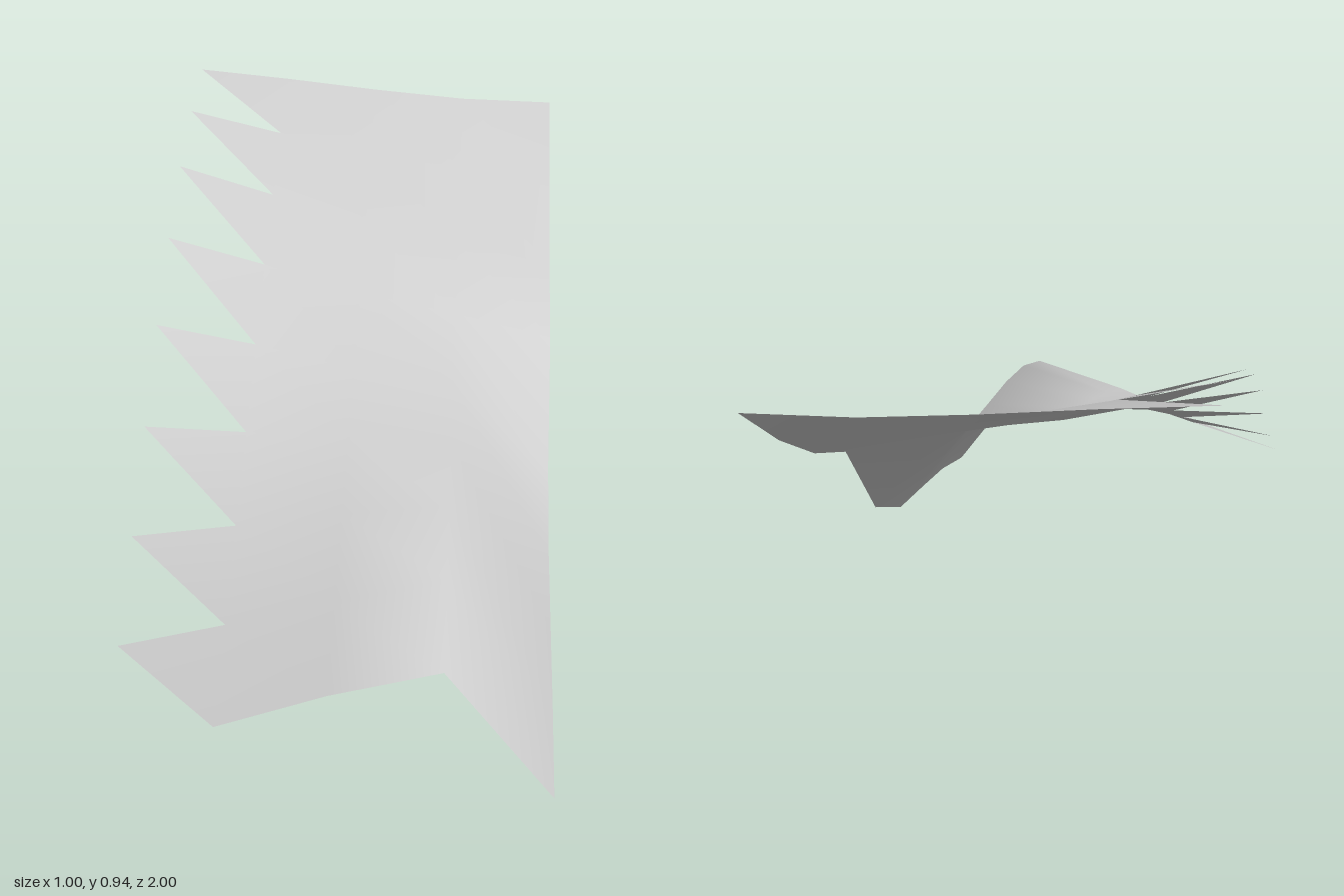
import * as THREE from 'three';

// Heights of the curved sheet: one row per z (back to front), one column per x (right to left side)
const STEP = 0.25;
const HEIGHTS = [
  [0.935, 0.912, 0.885, 0.863, 0.857],
  [0.905, 0.845, 0.79, 0.753, 0.705],
  [0.845, 0.768, 0.695, 0.643, 0.58],
  [0.75, 0.68, 0.605, 0.552, 0.49],
  [0.625, 0.577, 0.515, 0.475, 0.24],
  [0.475, 0.468, 0.46, 0.455, 0.138],
  [0.32, 0.36, 0.4, 0.435, 0.1],
  [0.185, 0.255, 0.33, 0.4, 0.06],
  [0.1, 0.163, 0.26, 0.333, 0.0],
];

function sheetGeometry() {
  const cols = HEIGHTS[0].length;
  const positions = [];
  const indices = [];
  HEIGHTS.forEach((row, r) => row.forEach((y, c) => {
    positions.push(-0.5 + c * STEP, y, -1 + r * STEP);
  }));
  for (let r = 0; r < HEIGHTS.length - 1; r++) {
    for (let c = 0; c < cols - 1; c++) {
      const a = r * cols + c;
      const b = a + 1;
      const d = a + cols;
      const e = d + 1;
      indices.push(a, e, b);
      // The first column keeps only one triangle per cell, leaving a row of teeth
      if (c > 0) indices.push(a, d, e);
    }
  }
  const geometry = new THREE.BufferGeometry();
  geometry.setAttribute('position', new THREE.Float32BufferAttribute(positions, 3));
  geometry.setIndex(indices);
  geometry.computeVertexNormals();
  return geometry;
}

export function createModel() {
  const group = new THREE.Group();
  group.name = 'jaggedSheet';

  const grey = new THREE.MeshStandardMaterial({ color: 0xcccccc, side: THREE.DoubleSide });
  grey.name = 'light grey';

  // Curved sheet with a toothed edge
  const sheet = new THREE.Mesh(sheetGeometry(), grey);
  sheet.name = 'toothedSheet';
  group.add(sheet);
  return group;
}
